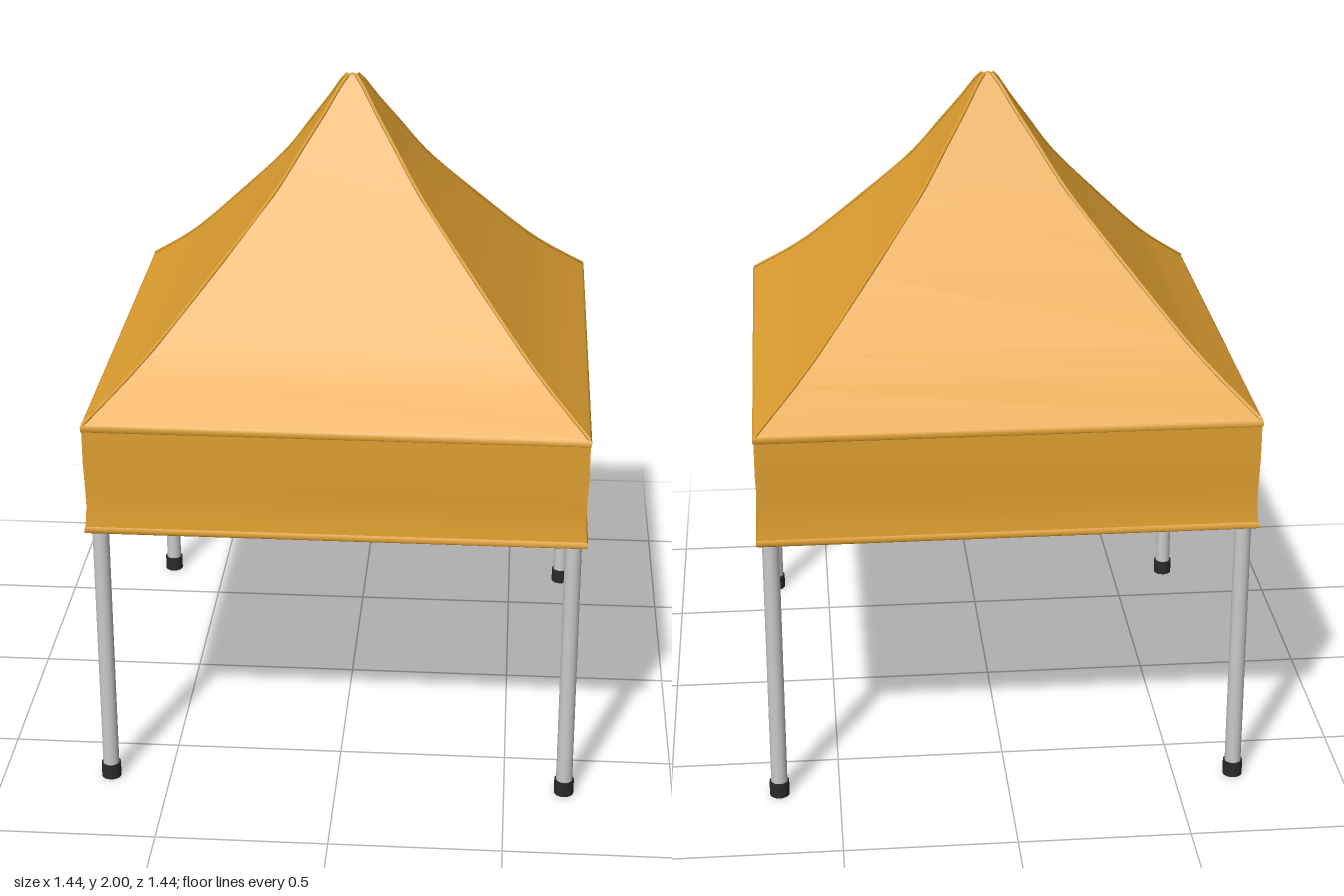
import * as THREE from 'three';

const mat = (name, color) => Object.assign(new THREE.MeshStandardMaterial({ color }), { name });

// Four-sided shell from a top-down profile of [halfWidth, y]; creased at the corners, smooth down each side
function squareShell(profile, inward = false) {
  const pos = [], idx = [];
  for (let k = 0; k < 4; k++) {
    const c = Math.round(Math.cos(k * Math.PI / 2)), s = Math.round(Math.sin(k * Math.PI / 2));
    const base = pos.length / 3;
    for (const [h, y] of profile)
      for (const x of [-h, h]) pos.push(x * c + h * s, y, -x * s + h * c);
    for (let i = 0; i < profile.length - 1; i++) {
      const a = base + i * 2, b = a + 1, d = a + 2, e = a + 3;
      if (inward) idx.push(a, e, d, a, b, e);
      else idx.push(a, d, e, a, e, b);
    }
  }
  const g = new THREE.BufferGeometry();
  g.setAttribute('position', new THREE.Float32BufferAttribute(pos, 3));
  g.setIndex(idx);
  g.computeVertexNormals();
  return g;
}

export function createModel() {
  const model = new THREE.Group();
  model.name = 'canopyTent';
  const fabric = mat('orangeFabric', 0xe0a030);
  const lining = mat('greyLining', 0xd0d2d2);
  const metal = mat('frameMetal', 0xcacaca);
  const plastic = mat('blackPlastic', 0x2a2a2a);

  const add = (name, geometry, material, x = 0, y = 0, z = 0, parent = model) => {
    const m = new THREE.Mesh(geometry, material);
    m.name = name;
    m.position.set(x, y, z);
    parent.add(m);
    return m;
  };
  // Round bar between two points
  const bar = (name, a, b, r, parent) => {
    const d = b.clone().sub(a);
    const p = a.clone().add(b).multiplyScalar(0.5);
    const m = add(name, new THREE.CylinderGeometry(r, r, d.length(), 8), metal, p.x, p.y, p.z, parent);
    m.quaternion.setFromUnitVectors(new THREE.Vector3(0, 1, 0), d.normalize());
  };

  // Concave roof, its lining and the corner seams
  const roof = [[0.012, 1.997], [0.03, 1.975], [0.07, 1.91], [0.13, 1.82], [0.21, 1.70], [0.37, 1.51],
    [0.53, 1.33], [0.6, 1.262], [0.712, 1.165]];
  add('roof', squareShell(roof), fabric);
  add('roofLining', squareShell(roof.map(([h, y]) => [Math.max(h - 0.005, 0.002), y - 0.006]), true), lining);
  add('peakCap', new THREE.SphereGeometry(0.02, 16, 10), fabric, 0, 1.98, 0);
  for (const sx of [-1, 1]) for (const sz of [-1, 1]) {
    const path = new THREE.CatmullRomCurve3(roof.map(([h, y]) => new THREE.Vector3(sx * h, y, sz * h)));
    add('ridgeSeam', new THREE.TubeGeometry(path, 32, 0.006, 6), fabric);
  }

  // Valance with a stitched band above and a hem below
  add('valance', squareShell([[0.714, 1.15], [0.714, 1.05], [0.711, 0.96], [0.710, 0.91], [0.713, 0.87],
    [0.715, 0.845]]), fabric);
  add('topBand', squareShell([[0.711, 1.167], [0.717, 1.160], [0.717, 1.147], [0.713, 1.143]]), fabric);
  add('hem', squareShell([[0.714, 0.85], [0.718, 0.842], [0.718, 0.832], [0.714, 0.828], [0.707, 0.828]]), fabric);
  add('valanceLining', squareShell([[0.709, 1.163], [0.707, 0.95], [0.706, 0.91], [0.707, 0.828]], true), lining);

  // Legs with feet, top brackets and sliding brackets
  const L = 0.678, HI = 1.1, LO = 0.91;
  for (const sx of [-1, 1]) for (const sz of [-1, 1]) {
    const leg = new THREE.Group();
    leg.name = 'leg';
    leg.position.set(sx * L, 0, sz * L);
    model.add(leg);
    add('legTube', new THREE.CylinderGeometry(0.024, 0.024, 1.12, 20), metal, 0, 0.58, 0, leg);
    add('foot', new THREE.CylinderGeometry(0.029, 0.029, 0.046, 20), plastic, 0, 0.023, 0, leg);
    for (const y of [HI, LO]) {
      add('legBracket', new THREE.CylinderGeometry(0.028, 0.028, 0.036, 16), plastic, 0, y, 0, leg);
      add('bracketArmX', new THREE.BoxGeometry(0.035, 0.026, 0.022), plastic, -sx * 0.035, y, 0, leg);
      add('bracketArmZ', new THREE.BoxGeometry(0.022, 0.026, 0.035), plastic, 0, y, -sz * 0.035, leg);
    }
  }

  // Scissor pair between two plan points, with a pivot at the crossing
  const scissor = (x0, z0, x1, z1) => {
    const g = new THREE.Group();
    g.name = 'scissorTruss';
    model.add(g);
    const side = new THREE.Vector3(z1 - z0, 0, x0 - x1).normalize().multiplyScalar(0.009);
    const at = (x, y, z, s) => new THREE.Vector3(x, y, z).addScaledVector(side, s);
    bar('scissorBar', at(x0, HI, z0, 1), at(x1, LO, z1, 1), 0.009, g);
    bar('scissorBar', at(x0, LO, z0, -1), at(x1, HI, z1, -1), 0.009, g);
    add('pivot', new THREE.SphereGeometry(0.016, 10, 8), plastic, (x0 + x1) / 2, (HI + LO) / 2, (z0 + z1) / 2, g);
  };
  for (const s of [-1, 1]) for (const t of [-1, 1]) {
    scissor(s * L, t * L, 0, t * L);
    scissor(s * L, t * L, s * L, 0);
  }

  // Inner trusses from each side's middle to the centre, and the joints they share
  for (const [x, z] of [[L, 0], [-L, 0], [0, L], [0, -L]]) {
    scissor(x, z, 0, 0);
    for (const y of [HI, LO]) add('sideJoint', new THREE.BoxGeometry(0.042, 0.032, 0.042), plastic, x, y, z);
  }

  // Centre pole holding up the peak
  for (const y of [HI, LO]) add('centreHub', new THREE.CylinderGeometry(0.03, 0.03, 0.036, 12), plastic, 0, y, 0);
  bar('centrePole', new THREE.Vector3(0, LO, 0), new THREE.Vector3(0, 1.95, 0), 0.016, model);

  return model;
}
